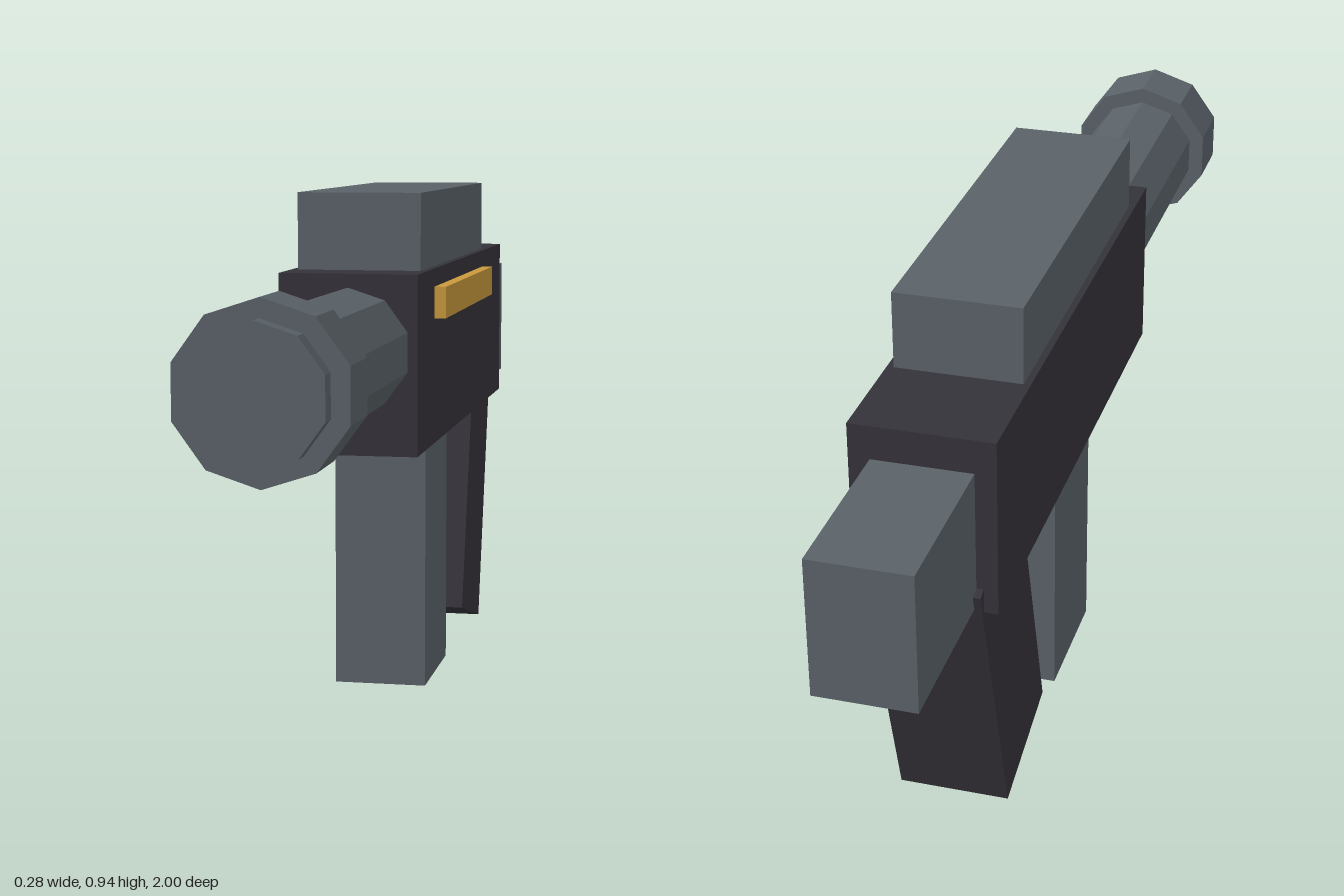
import * as THREE from 'three';

const flat = (name, color) => {
  const m = new THREE.MeshStandardMaterial({ color });
  m.name = name;
  return m;
};

export function createModel() {
  const steel = flat('steel grey', 0x5a6268);
  const dark = flat('dark grey', 0x35333a);
  const amber = flat('amber', 0xc8983c);

  const model = new THREE.Group();
  const CX = -0.004; // centre line of the body

  const add = (name, geometry, material, x, y, z) => {
    const mesh = new THREE.Mesh(geometry, material);
    mesh.name = name;
    mesh.position.set(x, y, z);
    model.add(mesh);
    return mesh;
  };

  // Box given by its width and its y and z extents
  const box = (name, material, w, y0, y1, z0, z1, x = CX) =>
    add(name, new THREE.BoxGeometry(w, y1 - y0, z1 - z0), material, x, (y0 + y1) / 2, (z0 + z1) / 2);

  // Ten-sided faceted tube lying along z
  const tube = (name, r, z0, z1) => {
    const g = new THREE.CylinderGeometry(r, r, z1 - z0, 10).rotateX(Math.PI / 2).toNonIndexed();
    g.computeVertexNormals();
    return add(name, g, steel, CX, 0.668, (z0 + z1) / 2);
  };

  // Receiver and the boxes around it
  box('body', dark, 0.246, 0.485, 0.803, -0.7, 0.335);
  box('topCover', steel, 0.222, 0.79, 0.94, -0.503, 0.237);
  box('stock', steel, 0.173, 0.497, 0.743, -1, -0.68);
  box('magazine', steel, 0.173, 0, 0.5, -0.208, 0.039);

  // Barrel with its muzzle ring
  tube('barrel', 0.111, 0.3, 1);
  tube('muzzleRing', 0.142, 0.84, 0.963);

  // Raked grip
  const grip = add('grip', new THREE.BoxGeometry(0.198, 0.54, 0.243), dark, CX, 0.297, -0.53);
  grip.rotation.x = -0.274;

  // Strip on the left side
  box('sideStrip', amber, 0.03, 0.713, 0.77, -0.432, 0.16, 0.125);

  return model;
}
